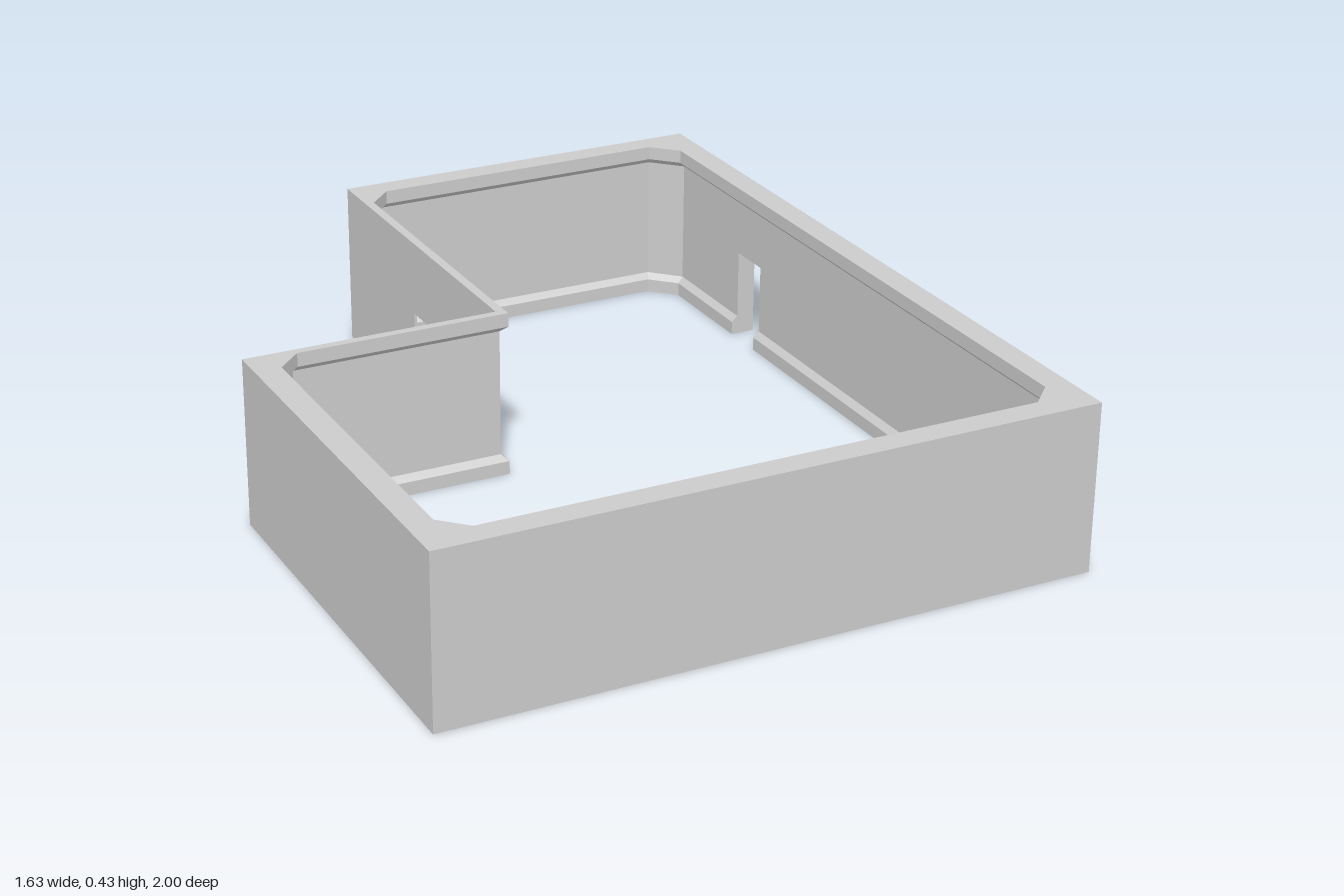
import * as THREE from 'three';

const H = 0.425, DOOR_H = 0.232, TRIM = 0.016;
const X = 0.817, NX = -0.175, NZ = -0.07; // outer half width and notch corner
const D0 = -0.45, D1 = -0.568;            // doorway jambs

// Stations around the L plan: [lip x, lip z, outer x, outer z, doorway starts here]
const PLAN = [
  [-0.69, 0.935, -X, 1], [0.69, 0.935, X, 1],
  [0.752, 0.873, X, 1], [0.752, D0, X, D0, true], [0.752, D1, X, D1], [0.752, -0.875, X, -1],
  [0.69, -0.938, X, -1], [-0.09, -0.938, NX, -1],
  [-0.152, -0.875, NX, -1], [-0.152, D1, NX, D1, true], [-0.152, D0, NX, D0],
  [-0.152, -0.048, NX, NZ], [-0.69, -0.048, -X, NZ],
  [-0.752, 0.013, -X, NZ], [-0.752, 0.873, -X, 1],
];

// Wall section: which plan line (outer face, inner wall, trim lip) and height
const SECTION = [
  ['outer', 0], ['lip', 0], ['lip', 0.035], ['wall', 0.05], ['wall', DOOR_H],
  ['wall', H - 0.05], ['lip', H - 0.035], ['lip', H], ['outer', H], ['outer', DOOR_H],
];

// Part that each strip of the section belongs to
const partOf = (k) => (k === 1 || k === 2 ? 'skirting' : k === 5 || k === 6 ? 'cornice' : 'walls');

function buildStations() {
  const n = PLAN.length;
  const normal = (a, b) => new THREE.Vector2(a[1] - b[1], b[0] - a[0]).normalize();
  return PLAN.map((p, i) => {
    // Mitred offset from the trim lip out to the plain wall face
    const n1 = normal(PLAN[(i + n - 1) % n], p), n2 = normal(p, PLAN[(i + 1) % n]);
    const off = n1.clone().add(n2).multiplyScalar(TRIM / (1 + n1.dot(n2)));
    const line = {
      lip: [p[0], p[1]],
      wall: [p[0] + off.x, p[1] + off.y],
      outer: [p[2], p[3]],
    };
    return SECTION.map(([key, y]) => new THREE.Vector3(line[key][0], y, line[key][1]));
  });
}

export function createModel() {
  const group = new THREE.Group();
  group.name = 'lShapedRoom';
  const parts = { walls: [], skirting: [], cornice: [] };

  const tri = (part, a, b, c) => {
    const area = b.clone().sub(a).cross(c.clone().sub(a)).length();
    if (area > 1e-8) parts[part].push(a, b, c);
  };
  const quad = (part, a, b, c, d) => { tri(part, a, b, c); tri(part, a, c, d); };

  const stations = buildStations();
  const m = SECTION.length;
  stations.forEach((s, i) => {
    const t = stations[(i + 1) % stations.length];
    const door = PLAN[i][4];
    if (!door) {
      for (let k = 0; k < m; k++) {
        const j = (k + 1) % m;
        quad(partOf(k), s[k], s[j], t[j], t[k]);
      }
      return;
    }
    // Over a doorway only the upper part of the section continues
    for (let k = 4; k < m - 1; k++) quad(partOf(k), s[k], s[k + 1], t[k + 1], t[k]);
    quad('walls', s[9], s[4], t[4], t[9]);
    // Jambs on both sides of the opening
    const jamb = [0, 1, 2, 3, 4, 9];
    for (let k = 1; k < 5; k++) {
      tri('walls', s[0], s[jamb[k]], s[jamb[k + 1]]);
      tri('walls', t[0], t[jamb[k + 1]], t[jamb[k]]);
    }
  });

  const material = new THREE.MeshStandardMaterial({ color: 0xcccccc, flatShading: true });
  for (const [name, points] of Object.entries(parts)) {
    const geometry = new THREE.BufferGeometry().setFromPoints(points);
    geometry.computeVertexNormals();
    const mesh = new THREE.Mesh(geometry, material);
    mesh.name = name;
    group.add(mesh);
  }
  return group;
}
